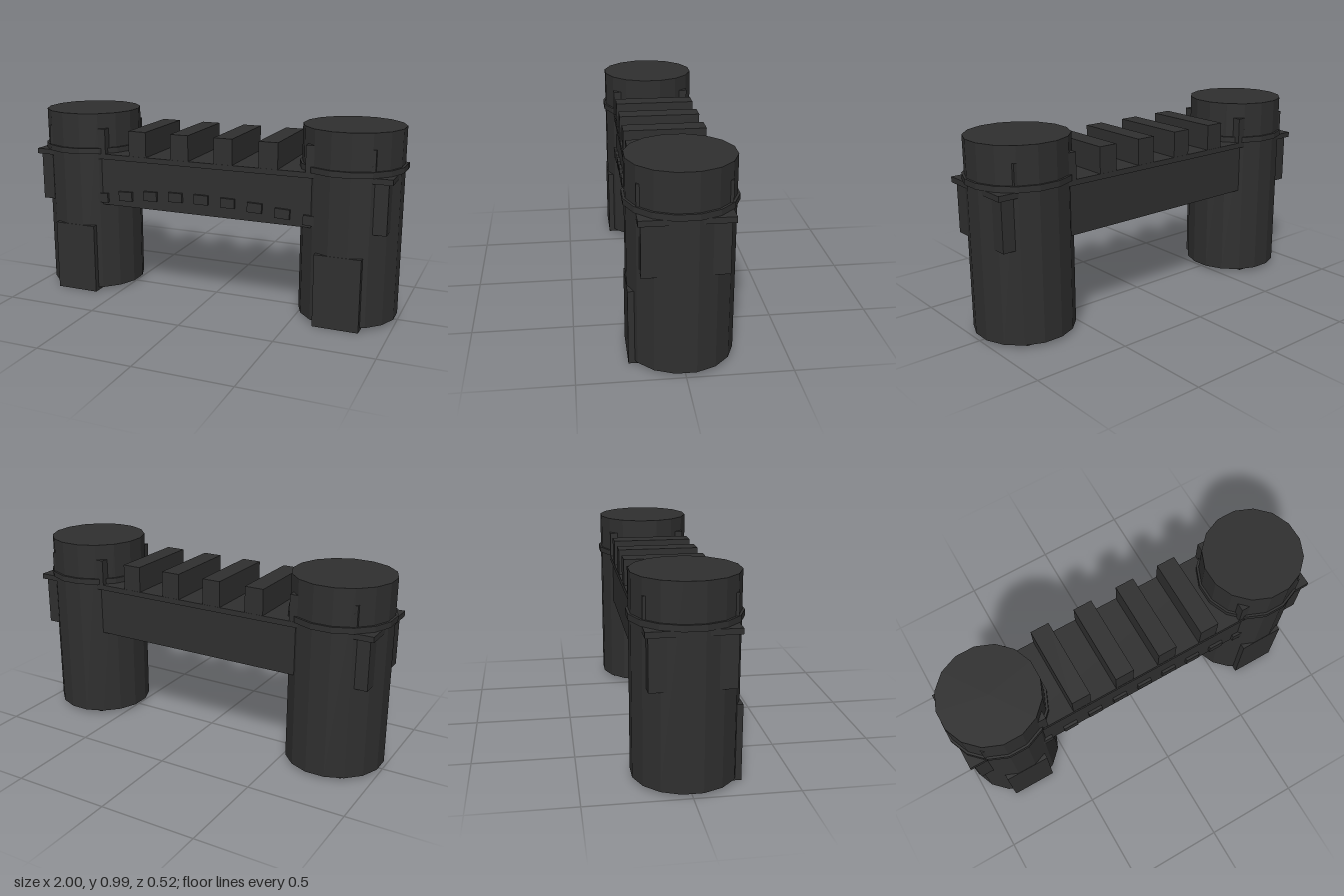
import * as THREE from 'three';

export function createModel() {
  const model = new THREE.Group();
  model.name = 'gatehouse';
  const stone = new THREE.MeshStandardMaterial({ color: 0x2f2f2f, flatShading: true });
  stone.name = 'dark stone';

  const add = (name, geometry, x, y, z) => {
    const mesh = new THREE.Mesh(geometry, stone);
    mesh.name = name;
    mesh.position.set(x, y, z);
    model.add(mesh);
    return mesh;
  };
  // Box given by its limits on each axis
  const box = (name, x0, x1, y0, y1, z0, z1) =>
    add(name, new THREE.BoxGeometry(x1 - x0, y1 - y0, z1 - z0),
      (x0 + x1) / 2, (y0 + y1) / 2, (z0 + z1) / 2);
  // Sixteen-sided drum with a flat side facing front
  const drum = (name, radius, y0, y1, x) => {
    const mesh = add(name, new THREE.CylinderGeometry(radius, radius, y1 - y0, 16), x, (y0 + y1) / 2, 0);
    mesh.rotation.y = Math.PI / 16;
  };

  // Towers with collar rings and the piers built into their feet
  for (const side of [-1, 1]) {
    const x = side * 0.738;
    drum('tower', 0.255, 0.017, 0.99, x);
    drum('towerRing', 0.267, 0.775, 0.805, x);
    box('pier', x - 0.118, x + 0.118, 0, 0.377, -0.197, 0.252);
  }

  // Bridge running through both towers, and its walkway
  box('bridge', -0.96, 0.96, 0.495, 0.75, -0.197, 0.2);
  box('walkway', -0.98, 0.98, 0.748, 0.776, -0.213, 0.213);

  // Battlements; the outer ones are partly buried in the towers
  for (let i = 0; i < 8; i++) {
    const x = (i - 3.5) * 0.2415;
    box('merlon', x - 0.05, x + 0.05, 0.77, 0.91, -0.212, 0.212);
  }

  // Raised stones in a shallow arch across the front
  for (let i = -4; i <= 4; i++) {
    const x = i * 0.1465;
    const y = 0.58 - 0.0029 * i * i;
    add('archStone', new THREE.BoxGeometry(0.078, 0.05, 0.03), x, y, 0.2).rotation.z = -i * 0.012;
  }
  return model;
}
